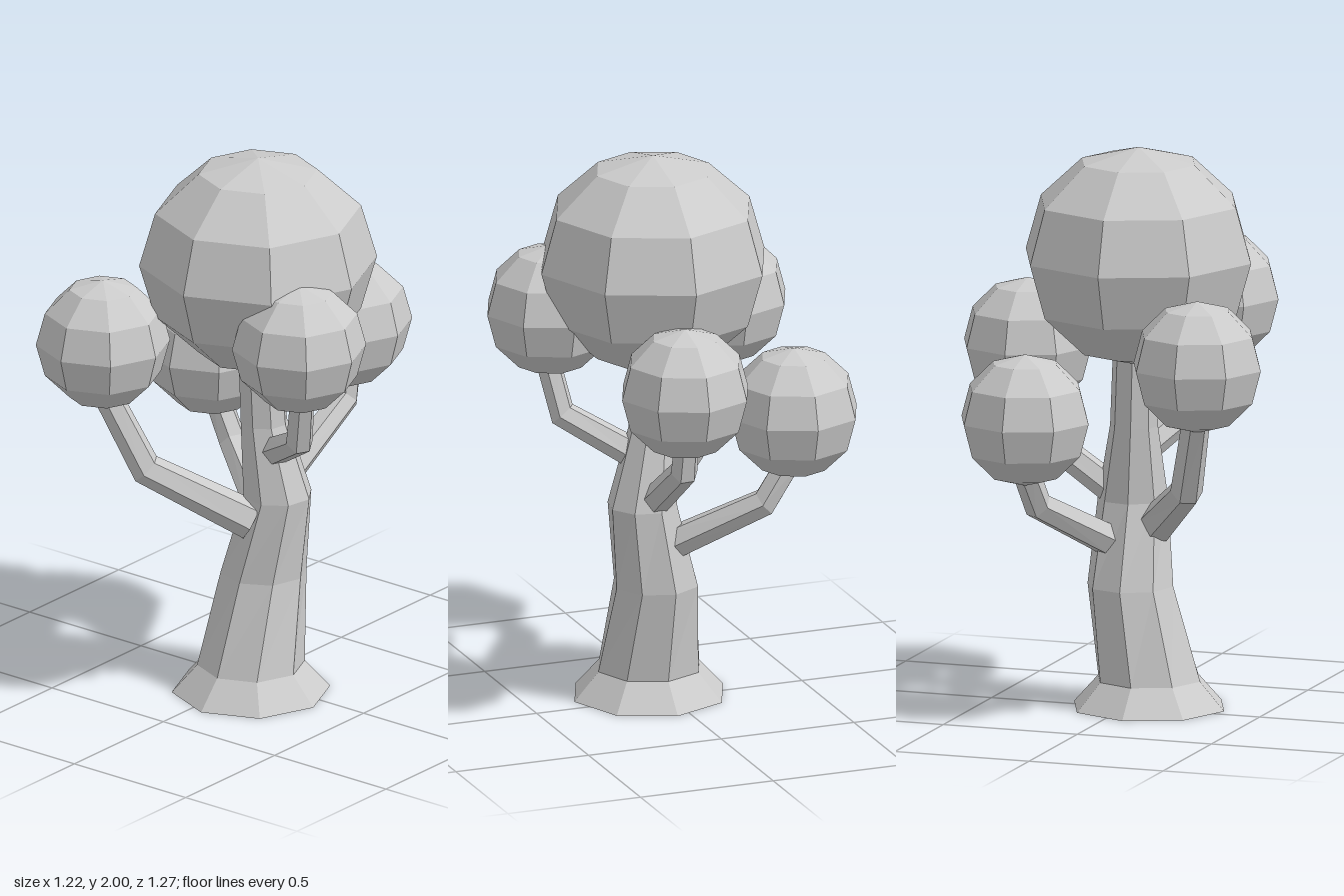
import * as THREE from 'three';

const material = new THREE.MeshStandardMaterial({ color: 0xcccccc, flatShading: true, side: THREE.DoubleSide });
const UP = new THREE.Vector3(0, 1, 0);

// Joins polygon rings [x, y, z, radius, twist]; tilted rings follow the path direction.
function loft(rings, sides, tilt, capped) {
  const centres = rings.map(r => new THREE.Vector3(r[0], r[1], r[2]));
  const positions = [], index = [];
  const last = rings.length - 1;
  rings.forEach(([, , , radius, twist = 0], i) => {
    const q = new THREE.Quaternion();
    if (tilt) {
      const dir = centres[Math.min(i + 1, last)].clone().sub(centres[Math.max(i - 1, 0)]).normalize();
      q.setFromUnitVectors(UP, dir);
    }
    for (let s = 0; s < sides; s++) {
      const a = twist + (s / sides) * Math.PI * 2;
      const p = new THREE.Vector3(Math.cos(a) * radius, 0, Math.sin(a) * radius);
      positions.push(...p.applyQuaternion(q).add(centres[i]).toArray());
      if (i < last) {
        const n = (s + 1) % sides, b = i * sides, t = b + sides;
        index.push(b + s, t + s, b + n, b + n, t + s, t + n);
      }
    }
  });
  if (capped) {
    const top = last * sides;
    for (let s = 1; s < sides - 1; s++) {
      index.push(0, s, s + 1, top, top + s + 1, top + s);
    }
  }
  const geometry = new THREE.BufferGeometry();
  geometry.setAttribute('position', new THREE.Float32BufferAttribute(positions, 3));
  geometry.setIndex(index);
  geometry.computeVertexNormals();
  return geometry;
}

export function createModel() {
  const tree = new THREE.Group();
  tree.name = 'tree';
  const add = (name, geometry) => {
    const mesh = new THREE.Mesh(geometry, material);
    mesh.name = name;
    tree.add(mesh);
    return mesh;
  };

  // Leaning trunk with a flared, open foot
  add('trunk', loft([
    [0.05, 0, 0.07, 0.28, 0],
    [0.05, 0.1, 0.07, 0.19, 0],
    [0.05, 0.43, 0, 0.155, -0.1],
    [0.105, 0.73, -0.01, 0.125, -0.2],
    [0.06, 1.0, 0.01, 0.085, -0.2],
    [0.05, 1.3, 0.02, 0.08, -0.2],
  ], 8, false, false));

  // Bent branches: root, elbow and tip
  const branches = {
    frontRightBranch: [[0.07, 0.65, 0.09, 0.07], [-0.23, 0.84, 0.31, 0.058], [-0.35, 1.13, 0.39, 0.05]],
    leftBranch: [[0.11, 0.9, 0.02, 0.055], [0.34, 1.04, 0.16, 0.05], [0.385, 1.25, 0.2, 0.045]],
    backRightBranch: [[0.01, 0.59, -0.06, 0.06], [-0.27, 0.76, -0.23, 0.052], [-0.37, 0.93, -0.25, 0.048]],
    backBranch: [[0.08, 0.75, -0.06, 0.055], [0.1, 0.97, -0.4, 0.05], [0.1, 1.1, -0.42, 0.045]],
  };
  for (const [name, rings] of Object.entries(branches)) add(name, loft(rings, 6, true, true));

  // Faceted foliage balls: centre, horizontal radius, vertical radius
  const foliage = {
    crownFoliage: [0.05, 1.61, 0.03, 0.42, 0.39],
    frontRightFoliage: [-0.355, 1.315, 0.395, 0.237, 0.235],
    leftFoliage: [0.37, 1.42, 0.2, 0.237, 0.235],
    backRightFoliage: [-0.375, 1.085, -0.24, 0.237, 0.235],
    backFoliage: [0.097, 1.26, -0.4, 0.237, 0.235],
  };
  for (const [name, [x, y, z, r, h]] of Object.entries(foliage)) {
    const ball = add(name, new THREE.SphereGeometry(1, 8, 6));
    ball.scale.set(r, h, r);
    ball.position.set(x, y, z);
  }
  return tree;
}
